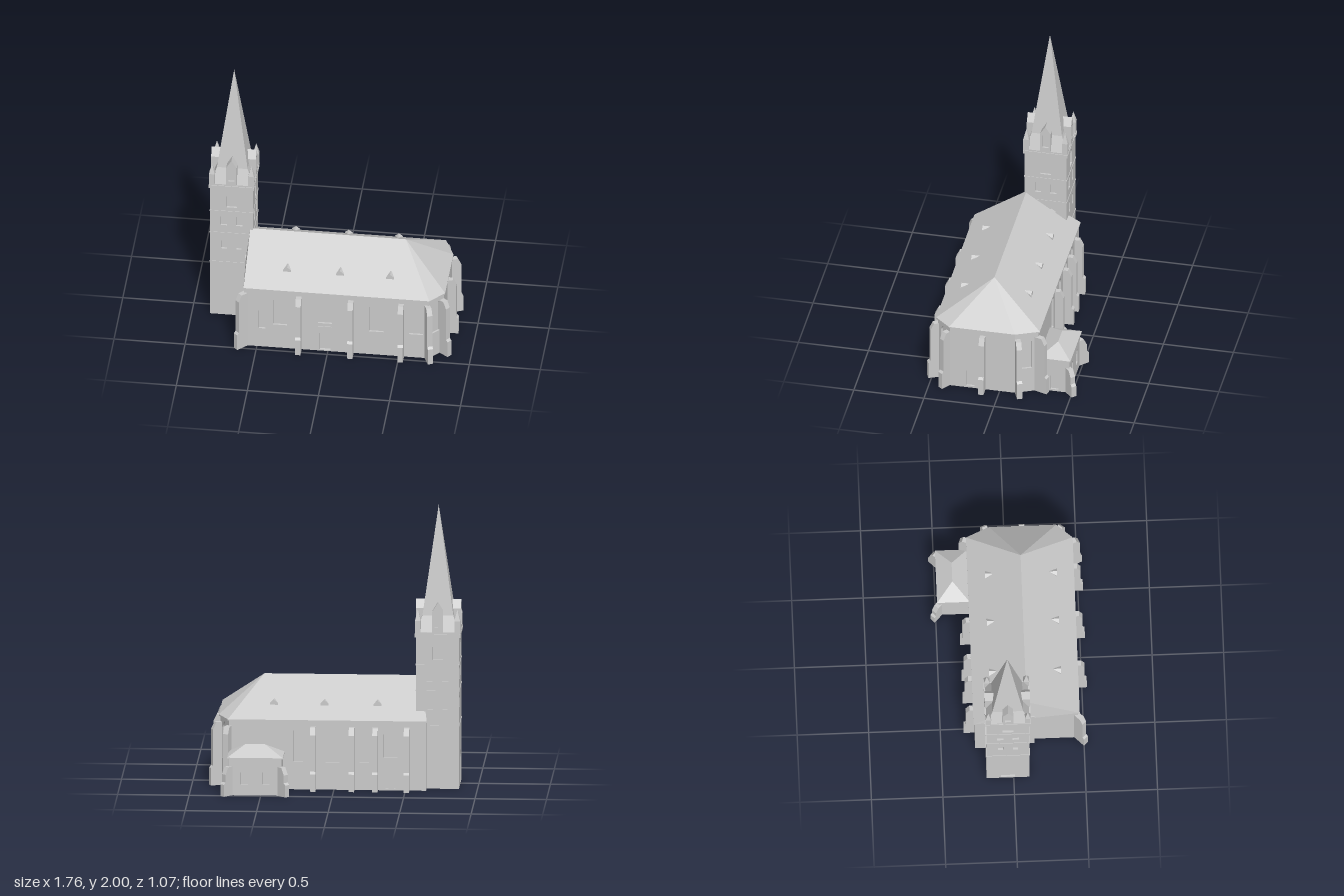
import * as THREE from 'three';

const stone = new THREE.MeshStandardMaterial({ color: 0xcacaca });
stone.name = 'pale stone';

function add(parent, name, geometry, x = 0, y = 0, z = 0, turn = 0) {
  const mesh = new THREE.Mesh(geometry, stone);
  mesh.name = name;
  mesh.position.set(x, y, z);
  mesh.rotation.y = turn;
  parent.add(mesh);
  return mesh;
}

// Flat faces from corner loops, counterclockwise seen from outside
function faceted(polygons) {
  const points = [];
  for (const p of polygons)
    for (let i = 1; i < p.length - 1; i++) points.push(...p[0], ...p[i], ...p[i + 1]);
  const g = new THREE.BufferGeometry();
  g.setAttribute('position', new THREE.Float32BufferAttribute(points, 3));
  g.computeVertexNormals();
  return g;
}

// Horizontal slab over a plan of [x, z] corners
function slab(plan, y0, y1) {
  const shape = new THREE.Shape(plan.map(([x, z]) => new THREE.Vector2(x, z)));
  return new THREE.ExtrudeGeometry(shape, { depth: y1 - y0, bevelEnabled: false })
    .rotateX(Math.PI / 2).translate(0, y1, 0);
}

// Outline of an opening: pointed arch, or square when tip is 0
function opening(path, u, y, w, h, tip = w * 0.65) {
  path.moveTo(u - w / 2, y);
  path.lineTo(u + w / 2, y);
  path.lineTo(u + w / 2, y + h - tip);
  if (tip) {
    path.quadraticCurveTo(u + w * 0.42, y + h - tip * 0.45, u, y + h);
    path.quadraticCurveTo(u - w * 0.42, y + h - tip * 0.45, u - w / 2, y + h - tip);
  } else path.lineTo(u - w / 2, y + h);
  path.closePath();
  return path;
}

// Wall from a to b with recessed openings [u, y, w, h, tip]
function wall(parent, name, a, b, height, openings = [], depth = 0.014) {
  const dx = b[0] - a[0], dz = b[1] - a[1], length = Math.hypot(dx, dz);
  const shape = new THREE.Shape([[0, 0], [length, 0], [length, height], [0, height]]
    .map(p => new THREE.Vector2(...p)));
  for (const o of openings) shape.holes.push(opening(new THREE.Path(), ...o));
  const group = new THREE.Group();
  group.name = name;
  group.position.set(a[0], 0, a[1]);
  group.rotation.y = Math.atan2(-dz, dx);
  add(group, 'wallFace', new THREE.ExtrudeGeometry(shape,
    { depth, bevelEnabled: false, curveSegments: 4 }), 0, 0, -depth);
  add(group, 'windowBacking', new THREE.BoxGeometry(length, height, 0.004),
    length / 2, height / 2, -depth - 0.002);
  parent.add(group);
}

// Stepped buttress, running outward from a wall point along (dx, dz)
function buttress(parent, x, z, dx, dz, height = 0.45, step = 0.14, reach = 0.075) {
  const profile = [[-0.02, 0], [reach, 0], [reach, step - 0.015], [reach - 0.015, step],
    [reach - 0.015, height - 0.05], [reach - 0.04, height], [-0.02, height]];
  const shape = new THREE.Shape(profile.map(p => new THREE.Vector2(...p)));
  const g = new THREE.ExtrudeGeometry(shape, { depth: 0.038, bevelEnabled: false }).translate(0, 0, -0.019);
  add(parent, 'buttress', g, x, 0, z, Math.atan2(-dz, dx));
}

// Hipped roof: eave plan, two ridge ends, and the ridge point each eave edge rises to
function nave(parent) {
  const plan = [[-0.59, 0.46], [0.71, 0.46], [0.803, 0.355], [0.803, -0.11], [0.735, -0.262],
    [-0.645, -0.262], [-0.645, -0.1], [-0.59, -0.1]];
  const tall = (u, w = 0.1, y = 0.195) => [u, y, w, 0.465 - y];
  const openings = [
    [tall(0.254), tall(0.57, 0.1, 0.235), tall(0.93), tall(1.21), [0.57, 0.012, 0.075, 0.188],
      [0.125, 0.155, 0.05, 0.15, 0]],
    [tall(0.072, 0.07)],
    [[0.145, 0.015, 0.06, 0.16]],
    [tall(0.083, 0.075)],
    [tall(0.485, 0.07), tall(0.725), tall(0.94, 0.08), tall(1.13, 0.1, 0.235), [1.13, 0.012, 0.07, 0.17]],
  ];
  plan.forEach((p, i) => wall(parent, 'naveWall', p, plan[(i + 1) % plan.length], 0.49, openings[i]));
  add(parent, 'naveFloor', slab(plan, 0, 0.01));

  // Frame around the side door
  const frame = new THREE.Shape([[-0.07, 0.008], [0.03, 0.008], [0.03, 0.21], [-0.07, 0.21]]
    .map(p => new THREE.Vector2(...p)));
  frame.holes.push(opening(new THREE.Path(), -0.02, 0.012, 0.075, 0.188));
  add(parent, 'doorFrame', new THREE.ExtrudeGeometry(frame, { depth: 0.005, bevelEnabled: false }), 0, 0, 0.46);

  // Main roof, gabled by the tower and hipped at the far end
  const eaves = [[-0.592, 0.472], [0.715, 0.472], [0.813, 0.36], [0.813, -0.11], [0.742, -0.273],
    [-0.65, -0.273]];
  const e = eaves.map(([x, z]) => [x, 0.497, z]);
  const west = [-0.59, 0.748, 0.1], east = [0.505, 0.748, 0.1];
  add(parent, 'naveRoof', faceted([[e[0], e[1], east, west], [e[1], e[2], east], [e[2], e[3], east],
    [e[3], e[4], east], [e[4], e[5], west, east], [e[5], e[0], west]]));
  add(parent, 'naveEaves', slab(eaves, 0.487, 0.497));

  // Small roof vents on both slopes
  const vent = faceted([
    [[-0.028, 0, 0], [0.028, 0, 0], [0.028, 0.015, 0], [0, 0.037, 0], [-0.028, 0.015, 0]],
    [[0.028, 0.015, 0], [0.01, 0.02, -0.04], [0, 0.037, -0.06], [0, 0.037, 0]],
    [[-0.028, 0.015, 0], [0, 0.037, 0], [0, 0.037, -0.06], [-0.01, 0.02, -0.04]],
    [[0.028, 0, 0], [0.01, 0.02, -0.04], [0.028, 0.015, 0]],
    [[-0.028, 0, 0], [-0.028, 0.015, 0], [-0.01, 0.02, -0.04]]]);
  for (const x of [-0.3, 0.072, 0.425]) {
    add(parent, 'roofVent', vent, x, 0.577, 0.352);
    add(parent, 'roofVent', vent, x, 0.577, -0.152, Math.PI);
  }

  // Buttresses along the sides and round the far end
  for (const x of [-0.203, 0.163, 0.517]) buttress(parent, x, 0.46, 0, 1);
  for (const x of [-0.51, -0.29, -0.125, 0.145]) buttress(parent, x, -0.262, 0, -1);
  for (const b of [[-0.59, 0.46, -1, 1], [0.7, 0.46, 0.4, 0.9], [0.79, 0.37, 1, 0.75], [0.803, 0.12, 1, 0],
    [0.803, -0.128, 1, -0.42], [0.735, -0.262, 0.35, -1]]) buttress(parent, ...b);
  add(parent, 'towerPier', new THREE.BoxGeometry(0.036, 0.53, 0.04), -0.605, 0.265, 0.135);
}

// Low side chapel with a hipped roof
function chapel(parent) {
  const plan = [[0.355, -0.25], [0.355, -0.48], [0.725, -0.48], [0.725, -0.25]].reverse();
  wall(parent, 'chapelWall', plan[0], plan[1], 0.27, [[0.125, 0.015, 0.055, 0.145]]);
  wall(parent, 'chapelWall', plan[1], plan[2], 0.27, [[0.11, 0.075, 0.05, 0.12], [0.26, 0.075, 0.05, 0.12]]);
  wall(parent, 'chapelWall', plan[2], plan[3], 0.27);
  add(parent, 'chapelFloor', slab(plan, 0, 0.01));
  const eaves = [[0.345, -0.262], [0.735, -0.262], [0.735, -0.49], [0.345, -0.49]];
  const e = eaves.map(([x, z]) => [x, 0.27, z]);
  const a = [0.475, 0.345, -0.378], b = [0.613, 0.345, -0.378];
  add(parent, 'chapelRoof', faceted([[e[0], e[1], b, a], [e[1], e[2], b], [e[2], e[3], a, b], [e[3], e[0], a]]));
  add(parent, 'chapelEaves', slab(eaves, 0.262, 0.27));
  buttress(parent, 0.355, -0.48, -1, -1, 0.205, 0.1, 0.06);
  buttress(parent, 0.725, -0.48, 1, -1, 0.205, 0.1, 0.06);
}

function tower() {
  const group = new THREE.Group();
  group.name = 'tower';
  group.position.set(-0.721, 0, -0.04);
  const h = 0.15;
  const corners = [[-h, h], [h, h], [h, -h], [-h, -h]];
  const windows = [[h, 0.92, 0.075, 0.14]];
  for (const s of [-1, 1]) {
    windows.push([h + s * 0.054, 0.765, 0.045, 0.1], [h + s * 0.052, 0.565, 0.037, 0.085]);
  }
  const door = [h, 0.015, 0.1, 0.24];
  corners.forEach((c, i) =>
    wall(group, 'towerWall', c, corners[(i + 1) % 4], 1.09, i === 3 ? [...windows, door] : windows));
  add(group, 'towerFloor', slab(corners, 0, 0.01));
  for (const y of [0.45, 0.7, 0.885])
    add(group, 'stringCourse', new THREE.BoxGeometry(0.307, 0.008, 0.307), 0, y, 0);
  add(group, 'cornice', new THREE.BoxGeometry(0.32, 0.025, 0.32), 0, 1.094, 0);
  add(group, 'parapetLedge', new THREE.BoxGeometry(0.31, 0.012, 0.31), 0, 1.112, 0);

  // Square spire with flared foot
  const ring = (r, y) => [[-r, y, r], [r, y, r], [r, y, -r], [-r, y, -r]];
  const low = ring(0.15, 1.118), mid = ring(0.108, 1.23), sides = [];
  for (let i = 0; i < 4; i++) {
    const j = (i + 1) % 4;
    sides.push([low[i], low[j], mid[j], mid[i]], [mid[i], mid[j], [0, 2, 0]]);
  }
  add(group, 'spire', faceted(sides));

  // Gabled spire windows and corner pinnacles
  const gable = new THREE.Shape([[-0.037, 1.11], [0.037, 1.11], [0.037, 1.265], [0, 1.325], [-0.037, 1.265]]
    .map(p => new THREE.Vector2(...p)));
  const body = new THREE.ExtrudeGeometry(gable, { depth: 0.075, bevelEnabled: false }).translate(0, 0, 0.07);
  gable.holes.push(opening(new THREE.Path(), 0, 1.15, 0.042, 0.12));
  const front = new THREE.ExtrudeGeometry(gable, { depth: 0.013, bevelEnabled: false }).translate(0, 0, 0.145);
  const cap = new THREE.ConeGeometry(0.029, 0.08, 4).rotateY(Math.PI / 4);
  for (let i = 0; i < 4; i++) {
    const turn = i * Math.PI / 2;
    add(group, 'spireGable', body, 0, 0, 0, turn);
    add(group, 'spireGableFront', front, 0, 0, 0, turn);
    const x = (i % 2 ? 1 : -1) * 0.138, z = (i < 2 ? 1 : -1) * 0.138;
    add(group, 'pinnacle', new THREE.BoxGeometry(0.04, 0.09, 0.04), x, 1.155, z);
    add(group, 'pinnacleCap', cap.toNonIndexed(), x, 1.24, z).geometry.computeVertexNormals();
  }
  return group;
}

export function createModel() {
  const model = new THREE.Group();
  model.name = 'church';
  const hall = new THREE.Group();
  hall.name = 'nave';
  nave(hall);
  const side = new THREE.Group();
  side.name = 'chapel';
  chapel(side);
  model.add(hall, side, tower());
  return model;
}
